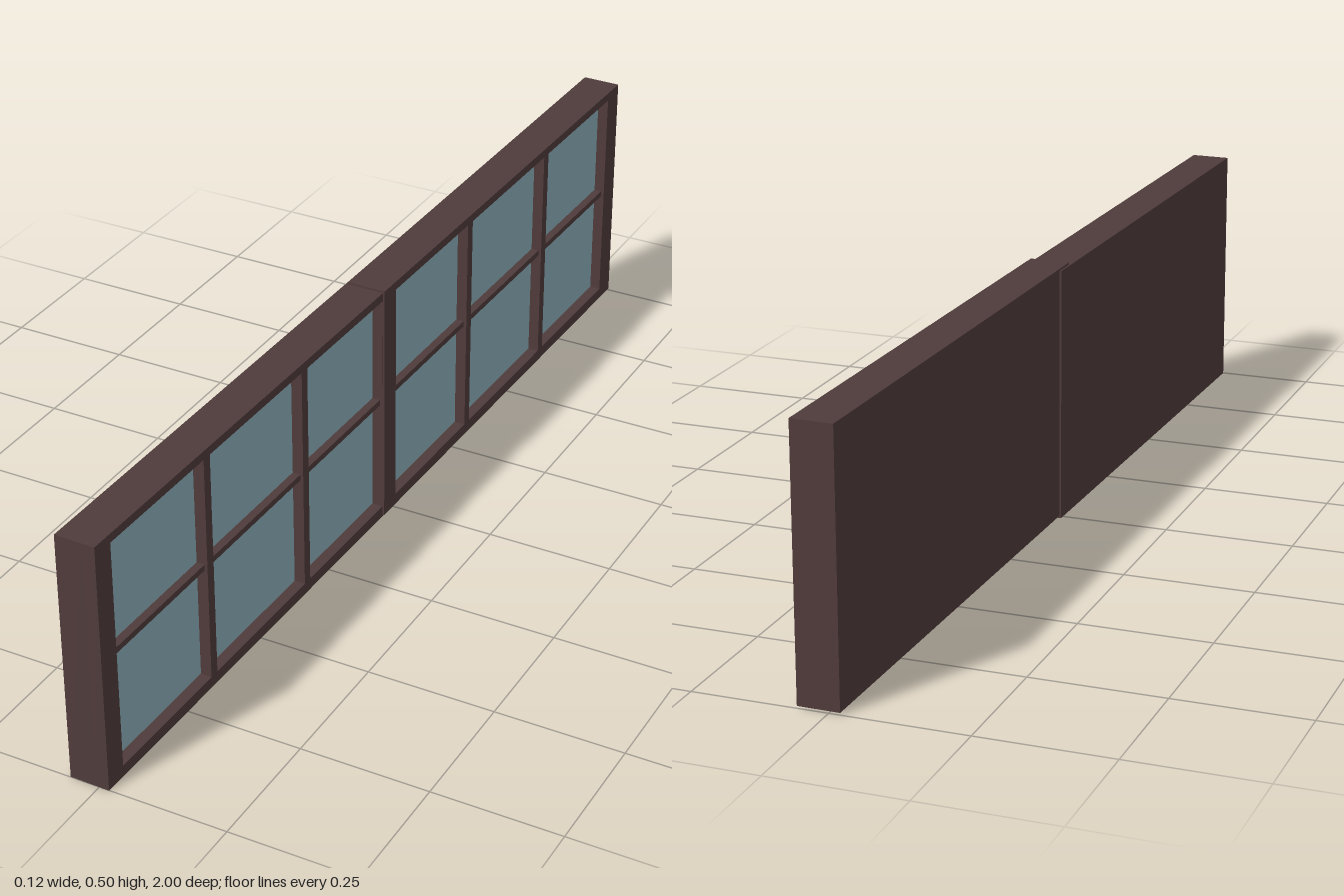
import * as THREE from 'three';

const DEPTH = 0.078, RECESS = 0.024, HEIGHT = 0.495;
const RAIL_BOTTOM = 0.023, RAIL_TOP = 0.478;

export function createModel() {
  const wood = new THREE.MeshStandardMaterial({ color: 0x4f3b3a });
  wood.name = 'dark brown wood';
  const glass = new THREE.MeshStandardMaterial({ color: 0x8eb1bb });
  glass.name = 'pale blue glass';

  const box = (name, material, [x0, x1], [y0, y1], [z0, z1]) => {
    const mesh = new THREE.Mesh(new THREE.BoxGeometry(x1 - x0, y1 - y0, z1 - z0), material);
    mesh.position.set((x0 + x1) / 2, (y0 + y1) / 2, (z0 + z1) / 2);
    mesh.name = name;
    return mesh;
  };

  // One sash: built along x from its starting edge, glazed side towards +z
  const makeSash = (name, length, openings) => {
    const sash = new THREE.Group();
    sash.name = name;
    const face = DEPTH / 2, bed = face - RECESS;

    sash.add(box('backBoard', wood, [0, length], [0, HEIGHT], [-face, bed]));

    // Stiles, rails and vertical bars as one pierced frame
    const outline = new THREE.Shape([
      new THREE.Vector2(0, 0), new THREE.Vector2(length, 0),
      new THREE.Vector2(length, HEIGHT), new THREE.Vector2(0, HEIGHT),
    ]);
    for (const [a, b] of openings) {
      outline.holes.push(new THREE.Path([
        new THREE.Vector2(a, RAIL_BOTTOM), new THREE.Vector2(a, RAIL_TOP),
        new THREE.Vector2(b, RAIL_TOP), new THREE.Vector2(b, RAIL_BOTTOM),
      ]));
    }
    const frame = new THREE.Mesh(
      new THREE.ExtrudeGeometry(outline, { depth: RECESS, bevelEnabled: false }), wood);
    frame.position.z = bed;
    frame.name = 'frame';
    sash.add(frame);

    // Panes and the recessed crossbar in each opening
    for (const span of openings) {
      sash.add(box('pane', glass, span, [RAIL_BOTTOM, RAIL_TOP], [bed, bed + 0.002]));
      sash.add(box('crossbar', wood, span, [0.25, 0.262], [bed, face - 0.006]));
    }
    return sash;
  };

  const model = new THREE.Group();
  model.name = 'slidingWindow';

  const frontSash = makeSash('frontSash', 1.01, [[0.045, 0.33], [0.35, 0.66], [0.68, 0.96]]);
  frontSash.position.set(-0.019, 0, 1);
  frontSash.rotation.y = Math.PI / 2 - 0.018;

  const backSash = makeSash('backSash', 1.04, [[0.045, 0.34], [0.36, 0.68], [0.70, 0.99]]);
  backSash.position.set(0.002, 0.004, 0.04);
  backSash.rotation.y = Math.PI / 2 - 0.0155;

  model.add(frontSash, backSash);
  return model;
}
